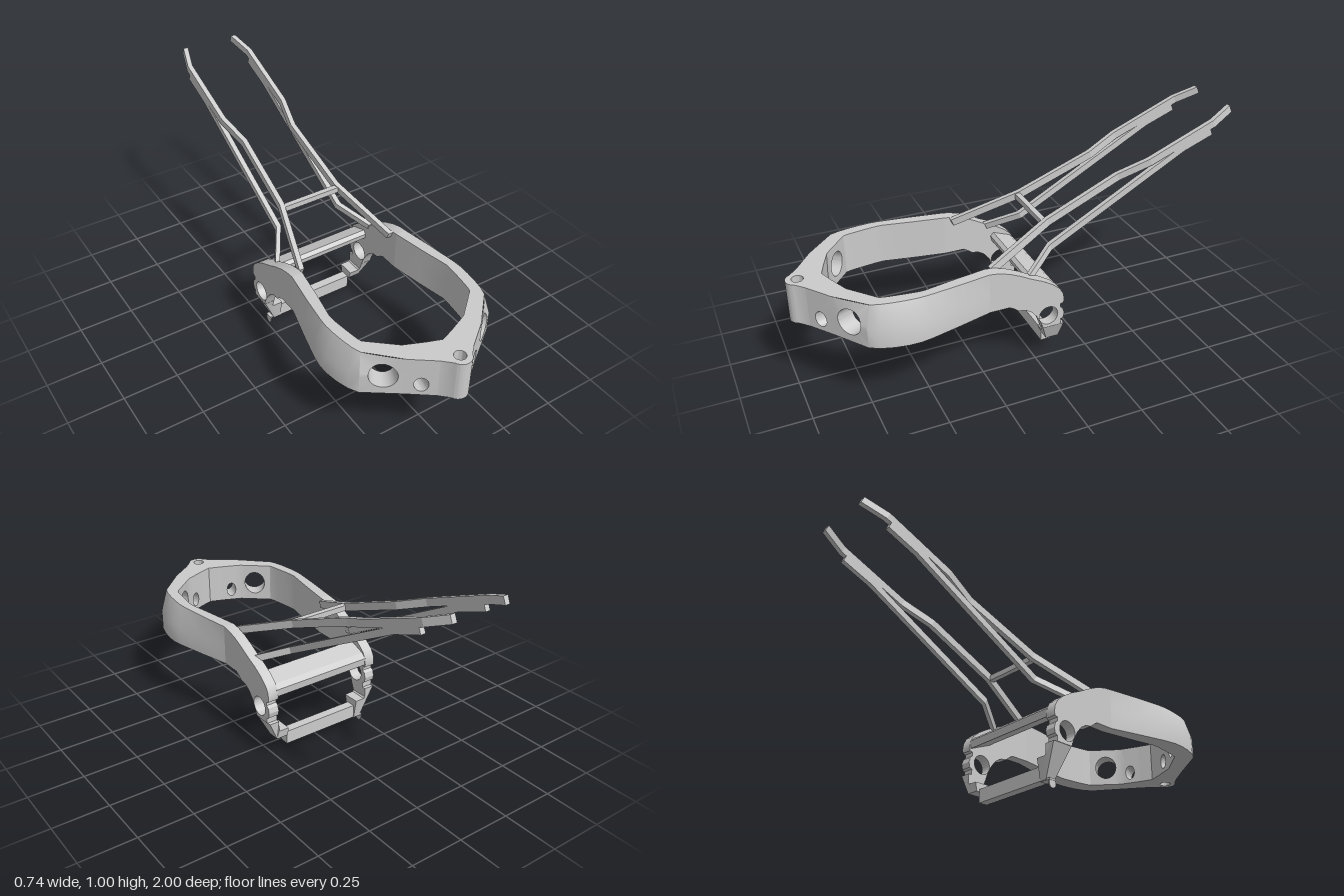
import * as THREE from 'three';
import { toCreasedNormals } from 'three/addons/utils/BufferGeometryUtils.js';

const material = new THREE.MeshStandardMaterial({ color: 0xcccccc });
const Y0 = 0.33, Y1 = 0.515, CREASE = 0.42;

function fromQuads(quads) {
  const pos = [];
  for (const [a, b, c, d] of quads) for (const p of [a, b, c, a, c, d]) pos.push(p.x, p.y, p.z);
  const g = new THREE.BufferGeometry();
  g.setAttribute('position', new THREE.Float32BufferAttribute(pos, 3));
  return g;
}

// mirrored copy across x with the winding put right
function mirror(geometry) {
  const g = geometry.index ? geometry.toNonIndexed() : geometry.clone();
  const p = g.attributes.position;
  for (let i = 0; i < p.count; i += 3) {
    const t = [0, 2, 1].map((k) => new THREE.Vector3().fromBufferAttribute(p, i + k));
    t.forEach((v, k) => p.setXYZ(i + k, -v.x, v.y, v.z));
  }
  return g;
}

// closed outline of [z, y] points extruded from x0 to x1
function sideExtrude(points, x0, x1, hole) {
  const shape = new THREE.Shape(points.map(([z, y]) => new THREE.Vector2(z, y)));
  if (hole) shape.holes.push(new THREE.Path().absarc(hole[0], hole[1], hole[2], 0, Math.PI * 2, true));
  const g = new THREE.ExtrudeGeometry(shape, { depth: x1 - x0, bevelEnabled: false, curveSegments: 24 });
  return g.rotateY(-Math.PI / 2).translate(x1, 0, 0);
}

// curved wall of the front loop: stations are [inner x, inner z, outer x, outer z, top inset]
function wallGeometry() {
  const stations = [
    [0.24, 0.23, 0.29, 0.23, 0], [0.265, 0.38, 0.33, 0.38, 0.25], [0.29, 0.51, 0.362, 0.51, 0.44],
    [0.289, 0.54, 0.37, 0.56, 0.46], [0.283, 0.59, 0.369, 0.61, 0.46], [0.276, 0.64, 0.36, 0.665, 0.44],
    [0.271, 0.67, 0.343, 0.72, 0.4], [0.265, 0.69, 0.32, 0.76, 0.33],
    [0.15, 0.79, 0.18, 0.86, 0], [0.06, 0.828, 0.08, 0.935, 0],
  ];
  // wall holes by column: centre u, centre y, radius in u, radius in y
  const holes = { 7: [0.52, 0.42, 0.33, 0.057], 8: [0.5, 0.385, 0.23, 0.035] };
  const quads = [];
  for (let i = 0; i < stations.length - 1; i++) {
    const P = (u, y, t) => {
      const [ix, iz, ox, oz, c] = stations[i].map((v, k) => THREE.MathUtils.lerp(v, stations[i + 1][k], u));
      const f = t * (1 - c * Math.max(0, (y - CREASE) / (Y1 - CREASE)));
      return new THREE.Vector3(ix + (ox - ix) * f, y, iz + (oz - iz) * f);
    };
    quads.push([P(0, Y1, 0), P(1, Y1, 0), P(1, Y1, 1), P(0, Y1, 1)]);
    quads.push([P(0, Y0, 1), P(1, Y0, 1), P(1, Y0, 0), P(0, Y0, 0)]);
    if (!holes[i]) {
      for (const [a, b] of [[Y0, CREASE], [CREASE, Y1]]) {
        quads.push([P(0, a, 1), P(0, b, 1), P(1, b, 1), P(1, a, 1)]);
        quads.push([P(0, a, 0), P(1, a, 0), P(1, b, 0), P(0, b, 0)]);
      }
      continue;
    }
    // pierced panel: rings of quads from the hole to the panel border
    const [hu, hy, ru, ry] = holes[i], N = 40;
    const rim = (k, t) => {
      const a = (k / N) * Math.PI * 2;
      return P(hu + ru * Math.cos(a), hy + ry * Math.sin(a), t);
    };
    const border = (k, t) => {
      const a = (k / N) * Math.PI * 2, m = Math.max(Math.abs(Math.cos(a)), Math.abs(Math.sin(a)));
      return P(0.5 + 0.5 * Math.cos(a) / m, (Y0 + Y1) / 2 + (Y1 - Y0) / 2 * Math.sin(a) / m, t);
    };
    for (let k = 0; k < N; k++) {
      quads.push([rim(k, 1), rim(k + 1, 1), border(k + 1, 1), border(k, 1)]);
      quads.push([rim(k, 0), border(k, 0), border(k + 1, 0), rim(k + 1, 0)]);
      quads.push([rim(k, 0), rim(k + 1, 0), rim(k + 1, 1), rim(k, 1)]);
    }
  }
  return fromQuads(quads);
}

// front nose with its vertical pivot hole
function noseGeometry() {
  const s = new THREE.Shape();
  s.moveTo(0, -0.85);
  s.lineTo(-0.06, -0.828);
  s.lineTo(-0.08, -0.935);
  s.lineTo(-0.042, -0.972);
  s.absarc(0, -0.955, 0.045, Math.PI + 0.38, Math.PI * 2 - 0.38, false);
  s.lineTo(0.08, -0.935);
  s.lineTo(0.06, -0.828);
  s.holes.push(new THREE.Path().absarc(0, -0.95, 0.025, 0, Math.PI * 2, true));
  const g = new THREE.ExtrudeGeometry(s, { depth: Y1 - Y0, bevelEnabled: false, curveSegments: 24 });
  return g.rotateX(-Math.PI / 2).translate(0, Y0, 0);
}

// square bar following [x, y, z] points, section upright to the rail slope
function railGeometry(points, w, h) {
  const ring = points.map(([x, y, z]) => [[-1, -1], [1, -1], [1, 1], [-1, 1]].map(([a, b]) =>
    new THREE.Vector3(x + a * w, y + b * h * 0.92, z + b * h * 0.39)));
  const quads = [[ring[0][0], ring[0][1], ring[0][2], ring[0][3]]];
  for (let i = 0; i < ring.length - 1; i++)
    for (let k = 0; k < 4; k++) {
      const n = (k + 1) % 4;
      quads.push([ring[i][n], ring[i][k], ring[i + 1][k], ring[i + 1][n]]);
    }
  const e = ring[ring.length - 1];
  quads.push([e[3], e[2], e[1], e[0]]);
  return fromQuads(quads);
}

// lower leg with inward foot, narrowing downward in z
function legGeometry(bottom) {
  const outer = (y) => 0.287 - (0.18 - y) * 0.44;
  const pts = [[0.24, 0.18], [0.24, 0.137], [0.234, 0.13], [0.19, 0.13], [0.19, bottom], [outer(bottom), bottom], [0.287, 0.18]];
  const g = new THREE.ExtrudeGeometry(new THREE.Shape(pts.map((p) => new THREE.Vector2(...p))),
    { depth: 1, bevelEnabled: false });
  const p = g.attributes.position;
  for (let i = 0; i < p.count; i++) {
    const y = p.getY(i);
    p.setZ(i, p.getZ(i) > 0.5 ? -0.057 + Math.max(0, y - 0.08) * 0.4 : -0.1 - 0.018 * Math.min(1, Math.max(0, (y - 0.03) / 0.1)));
  }
  return g;
}

export function createModel() {
  const model = new THREE.Group();
  const add = (name, geometry, crease = 0.5) => {
    const mesh = new THREE.Mesh(toCreasedNormals(geometry, crease), material);
    mesh.name = name;
    model.add(mesh);
  };
  const addPair = (name, geometry, crease) => {
    add(name + 'Left', geometry, crease);
    add(name + 'Right', mirror(geometry), crease);
  };

  // front loop
  addPair('loopWall', wallGeometry());
  add('noseMount', noseGeometry());

  // rear side plates with scalloped back edge and pivot hole
  addPair('sidePlate', sideExtrude([
    [0.23, Y0], [0.23, Y1], [0.19, 0.51], [0.14, 0.495], [0.09, 0.472], [0.04, 0.445], [-0.01, 0.422],
    [-0.06, 0.392], [-0.095, 0.362], [-0.11, 0.335], [-0.115, 0.305], [-0.112, 0.29], [-0.098, 0.285],
    [-0.098, 0.268], [-0.11, 0.258], [-0.117, 0.235], [-0.112, 0.212], [-0.1, 0.205], [-0.1, 0.18],
    [-0.018, 0.18], [-0.005, 0.215], [0.015, 0.25], [0.04, 0.28], [0.07, 0.298], [0.1, 0.302], [0.12, 0.318], [0.14, Y0],
  ], 0.24, 0.29, [-0.042, 0.24, 0.044]));
  add('legLeft', legGeometry(0.09));
  add('legRight', mirror(legGeometry(0.035)));

  // hook under the right foot
  add('footHook', new THREE.CylinderGeometry(0.019, 0.019, 0.005, 20).rotateZ(Math.PI / 2).translate(-0.237, 0.019, -0.08));
  add('footHookTab', new THREE.BoxGeometry(0.05, 0.008, 0.036).translate(-0.215, 0.037, -0.08));

  // cross members between the plates
  add('upperCrossPlate', sideExtrude([[-0.01, 0.385], [-0.09, 0.355], [-0.112, 0.335], [-0.108, 0.3], [0.0, 0.345], [0.005, 0.37]], -0.245, 0.245), 0.2);
  add('lowerCrossBar', new THREE.BoxGeometry(0.377, 0.062, 0.042).translate(-0.0015, 0.068, -0.078));

  // tail rails
  const upperY = (z) => 0.495 + (0.2 - z) * 0.407;
  addPair('upperTailRail', railGeometry(
    [[0.228, 0.2], [0.142, -0.1], [0.127, -0.44], [0.158, -0.58], [0.158, -0.89], [0.127, -0.993]]
      .map(([x, z]) => [x, upperY(z), z]), 0.0115, 0.017), 0.2);
  addPair('lowerTailRail', railGeometry(
    [[0.245, 0.43, 0.03], [0.158, 0.5, -0.105], [0.158, 0.848, -0.74], [0.158, 0.902, -0.88]], 0.0115, 0.015), 0.2);
  add('tailCrossBar', new THREE.BoxGeometry(0.27, 0.025, 0.025).translate(0, 0.612, -0.085));
  return model;
}
